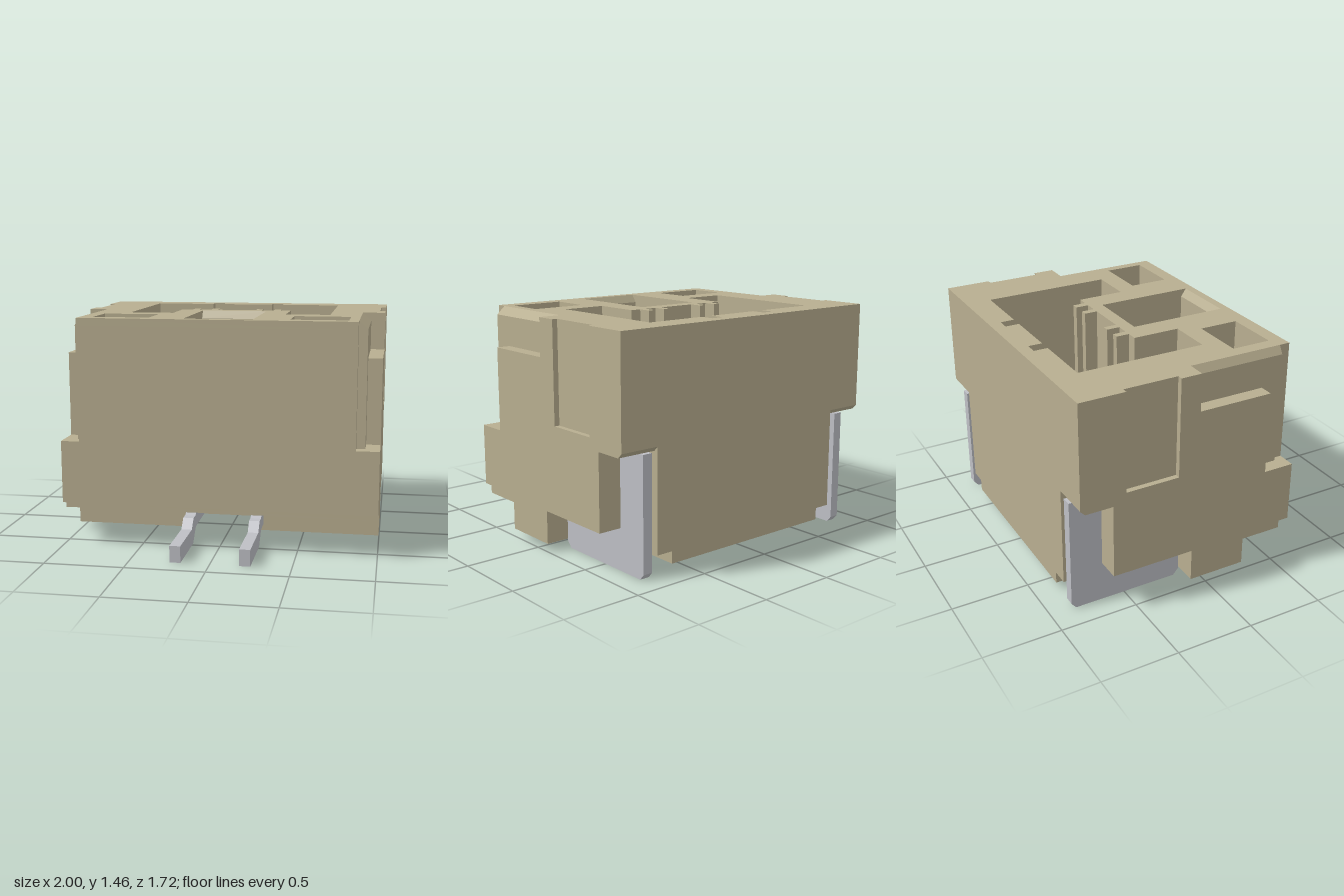
import * as THREE from 'three';

const housingMat = new THREE.MeshStandardMaterial({ color: 0xb8ae90 });
housingMat.name = 'tan plastic';
const metalMat = new THREE.MeshStandardMaterial({ color: 0xbebfc5 });
metalMat.name = 'grey metal';

const toShape = (pts) => new THREE.Shape(pts.map(([a, b]) => new THREE.Vector2(a, b)));
const rect = (x0, x1, z0, z1) => [[x0, z0], [x1, z0], [x1, z1], [x0, z1]];
const mirrorX = (pts) => pts.map(([x, z]) => [-x, z]).reverse();

function add(group, name, geometry, material) {
  const mesh = new THREE.Mesh(geometry, material);
  mesh.name = name;
  group.add(mesh);
}

// Horizontal plan (x, z) with holes, between heights y0 and y1
function slab(outline, holes, y0, y1) {
  const shape = toShape(outline);
  shape.holes = holes.map(toShape);
  return new THREE.ExtrudeGeometry(shape, { depth: y1 - y0, bevelEnabled: false })
    .rotateX(Math.PI / 2).translate(0, y1, 0);
}

// Side profile (z, y), between x0 and x1
function sideProfile(pts, x0, x1) {
  return new THREE.ExtrudeGeometry(toShape(pts), { depth: x1 - x0, bevelEnabled: false })
    .rotateY(-Math.PI / 2).translate(x1, 0, 0);
}

// One half of the housing plan, from the front centre to the back
function halfPlan(s, { front, slot, side, wall, recess, back, backWidth = 0.74 }) {
  const shoulder = s > 0 ? 0.855 : 0.88;
  const flank = wall ?? shoulder;
  const p = [];
  if (slot) p.push([0.215, -0.05], [0.215, front]);
  if (side === undefined) p.push([1, front]);
  else {
    p.push([shoulder, front]);
    if (wall) p.push([shoulder, 0.545], [wall, 0.545]);
    p.push([flank, side], [1, side]);
  }
  if (recess) p.push([1, -0.215], [0.965, -0.215], [0.965, -0.565], [1, -0.565]);
  if (back !== undefined) p.push([1, back], [backWidth, back], [backWidth, -0.86]);
  else p.push([1, -0.86]);
  return p.map(([x, z]) => [s * x, z]);
}
const plan = (o) => [...halfPlan(1, o), ...halfPlan(-1, o).reverse()];

// Mating cavity with guide ribs in front and contact slots behind
const cavityHalf = [
  [0.175, -0.69], [0.175, -0.78], [0.255, -0.78], [0.255, -0.69], [0.655, -0.69], [0.655, 0.14],
  [0.37, 0.14], [0.37, -0.165], [0.3, -0.165], [0.3, -0.25], [0.255, -0.25], [0.255, -0.165],
  [0.175, -0.165], [0.175, -0.25], [0.13, -0.25], [0.13, -0.165],
];
const cavity = [...cavityHalf, ...mirrorX(cavityHalf)];
const window_ = rect(-0.215, 0.215, -0.05, 0.525);
const wideWindow = rect(-0.215, 0.215, -0.08, 0.56);
const through = [rect(0.44, 0.62, 0.27, 0.525), rect(-0.62, -0.44, 0.27, 0.525)];
const pockets = [rect(0.44, 0.795, 0.27, 0.525), rect(-0.795, -0.44, 0.27, 0.525)];

export function createModel() {
  const model = new THREE.Group();
  model.name = 'boardConnector';

  // Housing in layers, from the foot to the rim
  const housing = new THREE.Group();
  housing.name = 'housing';
  model.add(housing);
  const upper = [cavity, window_, ...pockets];
  const ledge = { front: 0.615, side: 0.41, wall: 0.91 };
  const layers = [
    ['sole', 0.053, 0.13, { front: 0.27, slot: true, back: -0.11, backWidth: 0.63 }, []],
    ['foot', 0.13, 0.23, { front: 0.27, slot: true, back: -0.11 }, []],
    ['lowerFloor', 0.23, 0.265, { front: 0.545, back: -0.11 }, [window_, ...through]],
    ['upperFloor', 0.265, 0.28, { front: 0.545, back: -0.65 }, [window_, ...through]],
    ['lowerWalls', 0.28, 0.68, { front: 0.615, back: -0.65 }, [cavity, window_, ...through]],
    ['ledgeWalls', 0.68, 0.75, { ...ledge, back: -0.65 }, upper],
    ['slopeWalls', 0.75, 0.78, { ...ledge, back: -0.83 }, upper],
    ['middleWalls', 0.78, 0.82, ledge, upper],
    ['recessedWalls', 0.82, 1.22, { ...ledge, recess: true }, upper],
    ['upperWalls', 1.22, 1.41, { ...ledge, side: -0.08, recess: true }, upper],
    ['rim', 1.41, 1.46, { front: 0.615, side: -0.08, recess: true }, [cavity, wideWindow, ...pockets]],
  ];
  for (const [name, y0, y1, o, holes] of layers) add(housing, name, slab(plan(o), holes, y0, y1), housingMat);

  // Sloping edges of the side walls
  const wedge = (x, s) => {
    const pts = [[x, 1.41], [0.91, 1.41], [x, 1.46]].map(([a, b]) => [s * a, b]);
    return new THREE.ExtrudeGeometry(toShape(pts), { depth: 0.625, bevelEnabled: false }).translate(0, 0, -0.08);
  };
  add(housing, 'leftEdgeSlope', wedge(0.855, 1), housingMat);
  add(housing, 'rightEdgeSlope', wedge(0.88, -1), housingMat);

  // Sloping lips of the window
  add(housing, 'windowBackLip', sideProfile([[-0.08, 1.41], [-0.05, 1.41], [-0.08, 1.46]], -0.215, 0.215), housingMat);
  add(housing, 'windowFrontLip', sideProfile([[0.525, 1.41], [0.56, 1.41], [0.56, 1.46]], -0.215, 0.215), housingMat);

  // Rounded catch on the back wall of the window
  const catchPts = [[-0.06, 0.28], [0.125, 0.28]];
  for (let i = 0; i <= 20; i++) {
    const a = (i / 20) * Math.PI / 2;
    catchPts.push([-0.05 + 0.175 * Math.cos(a), 0.35 + 0.2 * Math.sin(a)]);
  }
  catchPts.push([-0.06, 0.55]);
  add(housing, 'windowCatch', sideProfile(catchPts, -0.13, 0.13), housingMat);

  // Contacts: foot, bent neck, bar under the cavity and upright post
  const contact = [
    [0.86, 0], [0.86, 0.105], [0.51, 0.105], [0.45, 0.165], [0.39, 0.165], [0.367, 0.175], [0.36, 0.195],
    [0.36, 0.3], [-0.58, 0.3], [-0.58, 1.31], [-0.592, 1.34], [-0.63, 1.36], [-0.755, 1.36], [-0.78, 1.34],
    [-0.78, 0.1], [0.36, 0.09], [0.38, 0.085], [0.47, 0],
  ];
  // Solder tabs: flat L plates in the back corners
  const tab = [
    [-0.11, 0.04], [-0.11, 0.265], [-0.63, 0.265], [-0.645, 0.272], [-0.65, 0.29],
    [-0.65, 0.75], [-0.86, 0.75], [-0.86, 0.035], [-0.83, 0], [-0.145, 0],
  ];
  // Slope over each tab
  const slope = [[-0.83, 0.75], [-0.83, 0.78], [-0.86, 0.78]];
  for (const [side, s] of [['left', 1], ['right', -1]]) {
    add(model, side + 'Contact', sideProfile(contact, s * 0.215 - 0.034, s * 0.215 + 0.034), metalMat);
    add(model, side + 'SolderTab', sideProfile(tab, s * 0.815 - 0.032, s * 0.815 + 0.032), metalMat);
    add(housing, side + 'TabSlope', sideProfile(slope, s * 0.87 - 0.13, s * 0.87 + 0.13), housingMat);
  }
  return model;
}
